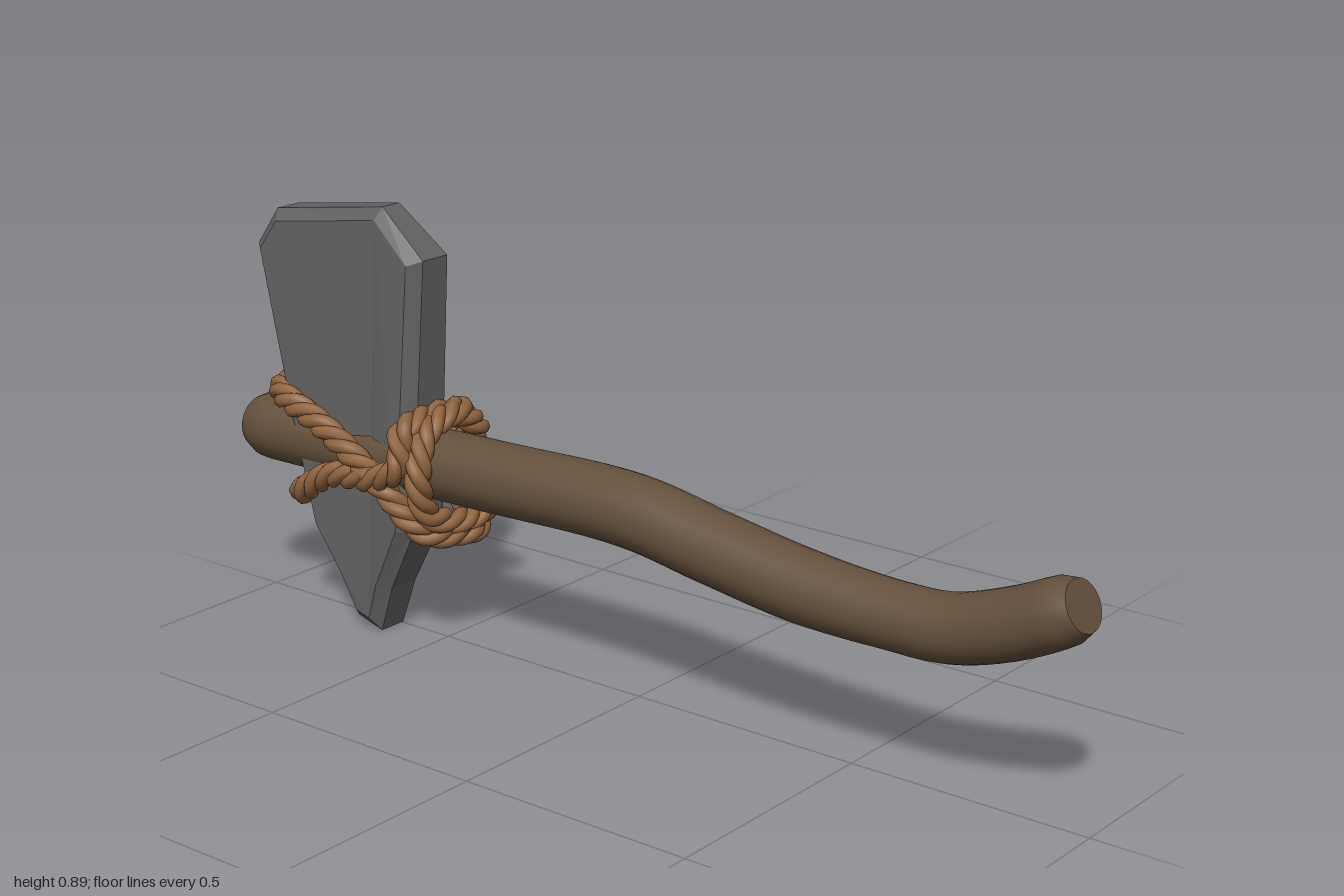
import * as THREE from 'three';

const V = (p) => new THREE.Vector3(...p);
const mat = (name, color) => new THREE.MeshStandardMaterial({ name, color });

// Piecewise linear lookup in a list of [position, value] pairs
function lerpTable(table, x) {
  if (x <= table[0][0]) return table[0][1];
  for (let i = 1; i < table.length; i++) {
    const [x0, a] = table[i - 1], [x1, b] = table[i];
    if (x <= x1) return a + (b - a) * (x - x0) / (x1 - x0);
  }
  return table[table.length - 1][1];
}

// Bent wooden shaft: a cylinder swept along a curve in the xy plane
function makeHandle(material) {
  const curve = new THREE.CatmullRomCurve3([
    [-1, 0.37, 0.02], [-0.7, 0.375, 0.02], [-0.35, 0.383, 0.02], [0, 0.388, 0.02],
    [0.2, 0.358, 0.02], [0.4, 0.33, 0.02], [0.6, 0.322, 0.02], [0.72, 0.328, 0.02],
    [0.85, 0.37, 0.02], [0.975, 0.432, 0.02],
  ].map(V));
  const radii = [[0, 0.072], [0.5, 0.072], [0.7, 0.069], [0.8, 0.063], [0.92, 0.065], [1, 0.063]];
  const geo = new THREE.CylinderGeometry(1, 1, 1, 24, 64).rotateY(Math.PI / 2);
  const pos = geo.attributes.position;
  for (let i = 0; i < pos.count; i++) {
    const t = THREE.MathUtils.clamp(pos.getY(i) + 0.5, 0, 1);
    const edge = Math.min(t, 1 - t);
    const r = lerpTable(radii, t) * lerpTable([[0, 0.78], [0.015, 0.97], [0.03, 1]], edge);
    const c = curve.getPointAt(t), d = curve.getTangentAt(t);
    const x = pos.getX(i) * r, z = pos.getZ(i) * r * 1.05;
    pos.setXYZ(i, c.x + d.y * x, c.y - d.x * x, c.z + z);
  }
  geo.computeVertexNormals();
  const mesh = new THREE.Mesh(geo, material);
  mesh.name = 'handle';
  return mesh;
}

// Chipped stone blade: bevelled outline whose thickness changes with height
function makeHead(material) {
  const outline = [
    [-0.60, 0.895], [-0.895, 0.85], [-0.955, 0.77], [-0.86, 0.40], [-0.80, 0.20],
    [-0.74, 0.11], [-0.695, 0.02], [-0.63, 0.0], [-0.595, 0.10], [-0.53, 0.235], [-0.50, 0.80],
  ];
  const front = [[0, 0.08], [0.03, 0.082], [0.2, 0.093], [0.5, 0.08], [0.9, 0.068]];
  const back = [[0, -0.025], [0.1, -0.03], [0.2, -0.05], [0.5, -0.038], [0.8, -0.046], [0.9, -0.01]];
  const geo = new THREE.ExtrudeGeometry(
    new THREE.Shape(outline.map(([x, y]) => new THREE.Vector2(x, y))),
    { depth: 0.6, bevelThickness: 0.2, bevelSize: 0.024, bevelOffset: -0.024, bevelSegments: 1 });
  const pos = geo.attributes.position;
  for (let i = 0; i < pos.count; i++) {
    const y = pos.getY(i), b = lerpTable(back, y), f = lerpTable(front, y);
    pos.setZ(i, b + (f - b) * (pos.getZ(i) + 0.2));
  }
  geo.computeVertexNormals();
  const mesh = new THREE.Mesh(geo, material);
  mesh.name = 'stoneHead';
  return mesh;
}

// Closed loop of rope: three strands twisted round a path
function makeRope(name, points, material) {
  const path = new THREE.CatmullRomCurve3(points.map(V), true, 'centripetal');
  const n = 180, turns = Math.round(path.getLength() / 0.13);
  const frames = path.computeFrenetFrames(n, true);
  const group = new THREE.Group();
  group.name = name;
  for (let s = 0; s < 3; s++) {
    const strand = [];
    for (let i = 0; i < n; i++) {
      const a = (s / 3 - turns * i / n) * Math.PI * 2;
      strand.push(path.getPointAt(i / n)
        .addScaledVector(frames.normals[i], Math.cos(a) * 0.0135)
        .addScaledVector(frames.binormals[i], Math.sin(a) * 0.0135));
    }
    const curve = new THREE.CatmullRomCurve3(strand, true);
    const mesh = new THREE.Mesh(new THREE.TubeGeometry(curve, 240, 0.0145, 8, true), material);
    mesh.name = 'ropeStrand';
    group.add(mesh);
  }
  return group;
}

export function createModel() {
  const wood = mat('darkWood', 0x64503c);
  const stone = mat('greyStone', 0x626262);
  const hemp = mat('brownRope', 0x91643f);
  const model = new THREE.Group();
  model.name = 'stoneAxe';
  model.add(makeHandle(wood), makeHead(stone));

  // Two tilted loops cross over the head on both faces
  model.add(makeRope('ropeLoopHigh', [
    [-0.91, 0.472, 0.02], [-0.86, 0.475, 0.09], [-0.72, 0.435, 0.115], [-0.58, 0.355, 0.118],
    [-0.48, 0.255, 0.085], [-0.455, 0.24, 0.01], [-0.46, 0.235, -0.05], [-0.58, 0.28, -0.105],
    [-0.77, 0.36, -0.125], [-0.88, 0.45, -0.08],
  ], hemp));
  model.add(makeRope('ropeLoopLow', [
    [-0.84, 0.275, 0.02], [-0.81, 0.275, 0.095], [-0.70, 0.34, 0.12], [-0.57, 0.36, 0.125],
    [-0.50, 0.40, 0.13], [-0.505, 0.465, 0.115], [-0.51, 0.478, 0.03], [-0.505, 0.475, -0.05],
    [-0.58, 0.43, -0.12], [-0.76, 0.36, -0.13], [-0.84, 0.29, -0.07],
  ], hemp));
  // Extra turn round the handle beside the head
  model.add(makeRope('ropeLoopSide', [
    [-0.46, 0.39, 0.12], [-0.48, 0.455, 0.075], [-0.495, 0.475, -0.03], [-0.52, 0.41, -0.12],
    [-0.66, 0.355, -0.13], [-0.77, 0.335, -0.115], [-0.66, 0.30, -0.11], [-0.46, 0.28, -0.085],
    [-0.45, 0.265, 0.0], [-0.46, 0.30, 0.095],
  ], hemp));
  return model;
}
